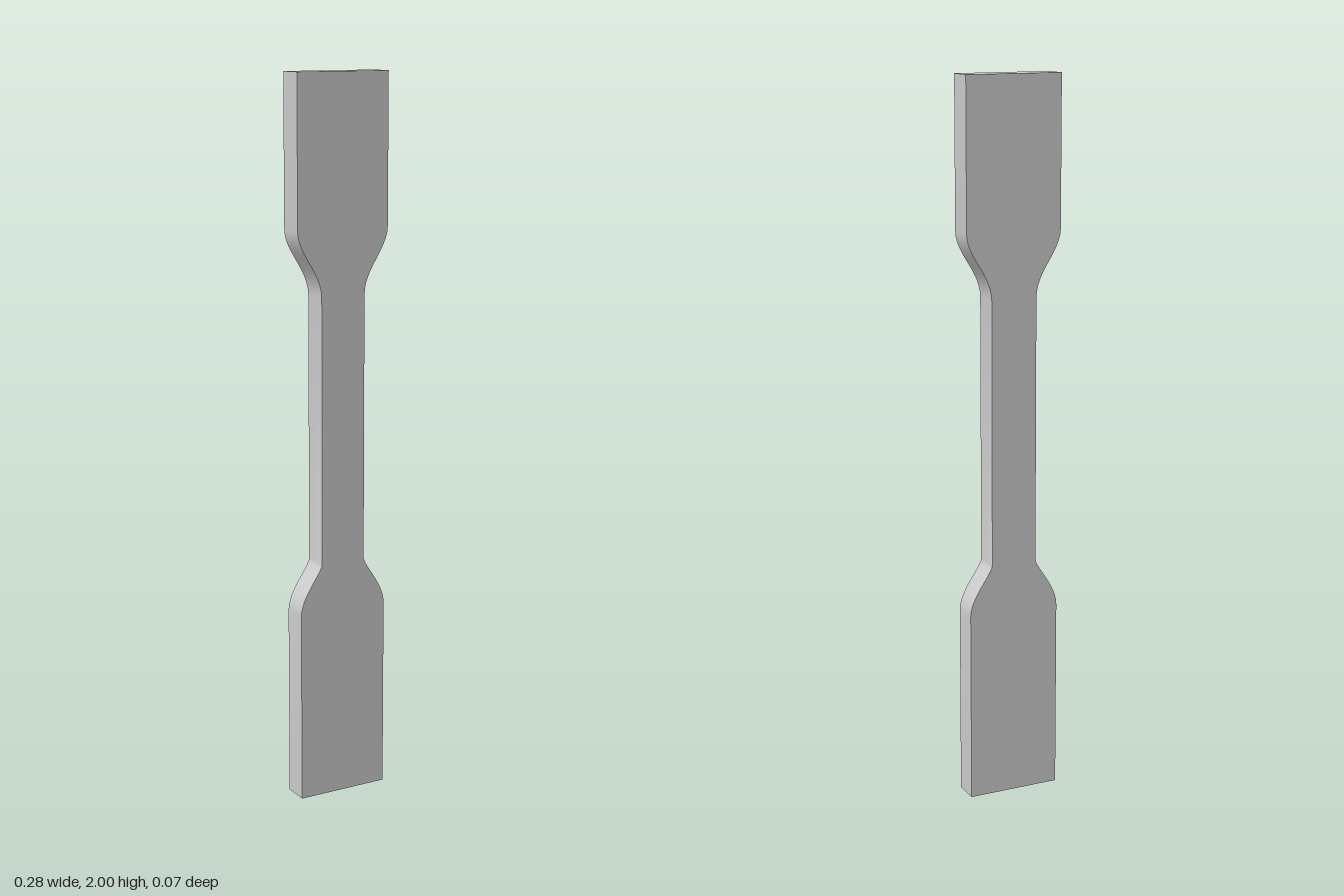
import * as THREE from 'three';
import { toCreasedNormals } from 'three/addons/utils/BufferGeometryUtils.js';

const TOP_W = 0.138, BOTTOM_W = 0.132, NECK_W = 0.066, DEPTH = 0.073;

// Right edge from bottom to top: wide grip, shoulder, narrow gauge, shoulder, wide grip
function edgePoints() {
  const lower = new THREE.CubicBezierCurve(
    new THREE.Vector2(BOTTOM_W, 0.535), new THREE.Vector2(BOTTOM_W, 0.59),
    new THREE.Vector2(0.068, 0.65), new THREE.Vector2(NECK_W, 0.675));
  const upper = new THREE.CubicBezierCurve(
    new THREE.Vector2(NECK_W, 1.41), new THREE.Vector2(NECK_W, 1.48),
    new THREE.Vector2(TOP_W, 1.53), new THREE.Vector2(TOP_W, 1.59));
  return [
    new THREE.Vector2(BOTTOM_W, 0),
    ...lower.getPoints(12),
    ...upper.getPoints(12),
    new THREE.Vector2(TOP_W, 2),
  ];
}

export function createModel() {
  const group = new THREE.Group();
  group.name = 'tensileTestBar';

  // Mirror the edge to close the outline
  const right = edgePoints();
  const left = right.map((p) => new THREE.Vector2(-p.x, p.y)).reverse();
  const outline = new THREE.Shape([...right, ...left]);

  // Flat bar, smooth along the shoulders and sharp at the rims
  const geometry = new THREE.ExtrudeGeometry(outline, { depth: DEPTH, bevelEnabled: false });
  geometry.translate(0, 0, -DEPTH / 2);
  const bar = new THREE.Mesh(
    toCreasedNormals(geometry, Math.PI / 5),
    new THREE.MeshStandardMaterial({ color: 0xcccccc }));
  bar.name = 'bar';
  group.add(bar);
  return group;
}
